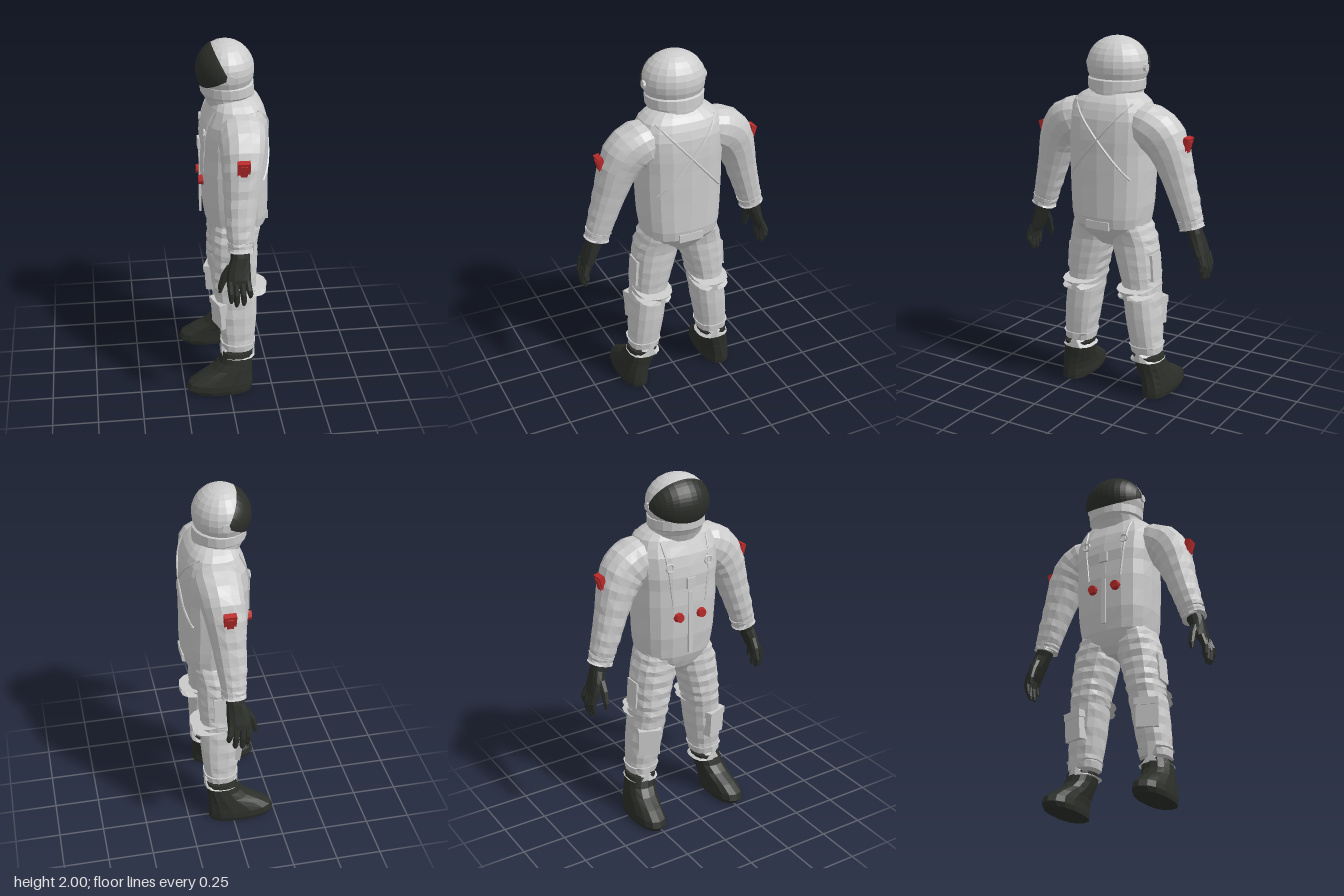
import * as THREE from 'three';

// The figure faces -x; its arms spread along z.
const suit = new THREE.MeshStandardMaterial({ color: 0xcccccc, flatShading: true, side: THREE.DoubleSide });
const dark = new THREE.MeshStandardMaterial({ color: 0x2b2e29, flatShading: true, side: THREE.DoubleSide });
const red = new THREE.MeshStandardMaterial({ color: 0xb82a2a, flatShading: true });

function add(parent, name, geometry, material, pos = [0, 0, 0], rot = [0, 0, 0]) {
  const mesh = new THREE.Mesh(geometry, material);
  mesh.name = name;
  mesh.position.set(...pos);
  mesh.rotation.set(...rot);
  parent.add(mesh);
  return mesh;
}

// Closed skin over rounded cross-sections; row = [x, y, z, halfX, halfAcross].
// fold = depth of the cloth creases, level = keep sections horizontal.
function loft(rows, { sides = 14, steps = rows.length - 1, power = 2.3, fold = 0, level = false } = {}) {
  const path = new THREE.CatmullRomCurve3(rows.map(r => new THREE.Vector3(r[0], r[1], r[2])), false, 'catmullrom', 0.4);
  const size = new THREE.CatmullRomCurve3(rows.map(r => new THREE.Vector3(r[3], r[4], 0)), false, 'catmullrom', 0.4);
  const pos = [], index = [], u = new THREE.Vector3(1, 0, 0);
  const bulge = a => Math.sign(a) * Math.pow(Math.abs(a), 2 / power);
  for (let i = 0; i <= steps; i++) {
    const c = path.getPoint(i / steps), s = size.getPoint(i / steps), t = path.getTangent(i / steps);
    if (level) t.set(0, Math.sign(t.y), 0);
    t.setX(0).normalize();
    const v = u.clone().cross(t);
    for (let j = 0; j < sides; j++) {
      const a = (j / sides) * Math.PI * 2, cs = Math.cos(a), sn = Math.sin(a);
      const crease = (i % 2 ? 1 : -1) * fold * (cs < 0.3 ? 1 : 0.25) * (0.6 + 0.4 * Math.sin(j * 2.1 + i));
      const p = c.clone().addScaledVector(u, bulge(cs) * (s.x + crease)).addScaledVector(v, bulge(sn) * (s.y + crease));
      pos.push(p.x, p.y, p.z);
    }
  }
  const start = pos.length / 3, end = start + 1;
  for (const k of [0, 1]) pos.push(...path.getPoint(k).toArray());
  for (let j = 0; j < sides; j++) {
    const n = (j + 1) % sides;
    for (let i = 0; i < steps; i++) {
      const a = i * sides + j, b = i * sides + n;
      index.push(a, a + sides, b, b, a + sides, b + sides);
    }
    index.push(start, j, n, end, steps * sides + n, steps * sides + j);
  }
  const g = new THREE.BufferGeometry();
  g.setAttribute('position', new THREE.Float32BufferAttribute(pos, 3));
  g.setIndex(index);
  g.computeVertexNormals();
  return g;
}

// Row from extents: height, front x, back x, inner z, outer z.
const span = ([y, f, b, zi, zo]) => [(f + b) / 2, y, (zi + zo) / 2, (b - f) / 2, (zo - zi) / 2];

// Torso: height, front x, back x, half width
const TORSO = [
  [0.87, -0.04, 0.13, 0.07], [0.93, -0.08, 0.18, 0.17], [1.0, -0.105, 0.232, 0.212], [1.1, -0.12, 0.236, 0.225],
  [1.25, -0.13, 0.236, 0.233], [1.4, -0.13, 0.236, 0.235], [1.5, -0.13, 0.236, 0.24], [1.59, -0.11, 0.226, 0.24],
  [1.66, -0.08, 0.2, 0.215], [1.7, -0.06, 0.165, 0.17], [1.73, -0.03, 0.12, 0.1],
];

// Point on the torso surface, front (-1) or back (1).
function onTorso(y, z, side, lift = 0.002) {
  const i = Math.max(1, TORSO.findIndex(r => r[0] >= y));
  const k = (y - TORSO[i - 1][0]) / (TORSO[i][0] - TORSO[i - 1][0]);
  const [f, b, w] = [1, 2, 3].map(n => THREE.MathUtils.lerp(TORSO[i - 1][n], TORSO[i][n], k));
  const x = Math.pow(Math.max(0, 1 - Math.pow(Math.abs(z) / w, 2.6)), 1 / 2.6);
  return new THREE.Vector3((f + b) / 2 + side * (x * (b - f) / 2 + lift), y, z);
}

function strap(parent, name, y0, z0, y1, z1, side) {
  const pts = [];
  for (let i = 0; i <= 8; i++) pts.push(onTorso(y0 + (y1 - y0) * i / 8, z0 + (z1 - z0) * i / 8, side, 0));
  add(parent, name, new THREE.TubeGeometry(new THREE.CatmullRomCurve3(pts), 16, 0.007, 5), suit);
}

function makeArm() {
  const arm = new THREE.Group();
  add(arm, 'sleeve', loft([
    [0.07, 1.57, 0.13, 0.1, 0.09], [0.07, 1.55, 0.22, 0.125, 0.115], [0.065, 1.5, 0.295, 0.118, 0.122],
    [0.055, 1.41, 0.348, 0.105, 0.106], [0.045, 1.28, 0.39, 0.09, 0.086], [0.037, 1.15, 0.43, 0.078, 0.075],
    [0.035, 1.06, 0.457, 0.066, 0.068], [0.035, 1.02, 0.468, 0.062, 0.066],
  ], { steps: 21, fold: 0.003 }), suit);
  add(arm, 'sleeveCuff', loft([[0.035, 1.06, 0.457, 0.069, 0.072], [0.035, 1.01, 0.471, 0.066, 0.07]]), suit);
  add(arm, 'armPatch', new THREE.BoxGeometry(0.065, 0.155, 0.03), red, [0.052, 1.43, 0.43], [0.28, 0, 0]);
  add(arm, 'armPatchRidge', new THREE.BoxGeometry(0.035, 0.12, 0.03), red, [0.052, 1.43, 0.436], [0.28, 0, 0]);

  // Glove
  add(arm, 'palm', loft([
    [0.033, 1.05, 0.458, 0.052, 0.048], [0.03, 0.98, 0.487, 0.05, 0.042], [0.02, 0.92, 0.508, 0.062, 0.034],
    [0.018, 0.87, 0.527, 0.064, 0.028], [0.018, 0.84, 0.537, 0.056, 0.02],
  ], { sides: 10 }), dark);
  [[-0.03, -0.022, 0.745], [0.002, 0.006, 0.722], [0.034, 0.044, 0.728], [0.063, 0.078, 0.772]].forEach(([x0, x1, tip]) => {
    const mid = (tip + 0.87) / 2;
    add(arm, 'finger', loft([
      [x0, 0.87, 0.533, 0.017, 0.02], [(x0 + x1) / 2, mid, 0.553, 0.017, 0.018],
      [x1, tip + 0.02, 0.55, 0.015, 0.015], [x1, tip, 0.545, 0.008, 0.008],
    ], { sides: 7 }), dark);
  });
  add(arm, 'thumb', loft([
    [-0.015, 0.94, 0.495, 0.026, 0.022], [-0.05, 0.885, 0.495, 0.022, 0.02],
    [-0.072, 0.82, 0.497, 0.017, 0.016], [-0.077, 0.785, 0.5, 0.008, 0.008],
  ], { sides: 7 }), dark);
  return arm;
}

function makeLeg() {
  const leg = new THREE.Group();
  add(leg, 'thigh', loft([
    [0.62, -0.08, 0.16, 0.08, 0.27], [0.7, -0.082, 0.165, 0.063, 0.268], [0.8, -0.08, 0.17, 0.035, 0.262],
    [0.9, -0.08, 0.172, 0.008, 0.25], [0.98, -0.075, 0.19, 0.005, 0.222], [1.04, -0.06, 0.19, 0.02, 0.2],
  ].map(span), { steps: 14, fold: 0.005, level: true, power: 2.5 }), suit);
  add(leg, 'shin', loft([
    [0.26, -0.03, 0.14, 0.13, 0.302], [0.34, -0.04, 0.152, 0.122, 0.297], [0.45, -0.055, 0.163, 0.103, 0.29],
    [0.56, -0.068, 0.165, 0.088, 0.28], [0.64, -0.08, 0.162, 0.078, 0.27],
  ].map(span), { steps: 9, fold: 0.003, level: true, power: 2.5 }), suit);
  add(leg, 'kneeBand', loft([
    [0.61, -0.086, 0.17, 0.076, 0.279], [0.65, -0.088, 0.17, 0.07, 0.276],
  ].map(span), { level: true, power: 2.5 }), suit, [0, 0.005, 0], [0, 0, -0.08]);
  add(leg, 'trouserCuff', loft([
    [0.215, -0.042, 0.152, 0.128, 0.312], [0.305, -0.044, 0.155, 0.12, 0.308],
  ].map(span), { level: true, power: 2.5 }), suit);
  // Shin pocket with flap, and thigh pocket
  add(leg, 'shinPocket', new THREE.BoxGeometry(0.07, 0.14, 0.12), suit, [-0.035, 0.475, 0.215], [0, 0.35, 0.06]);
  add(leg, 'shinPocketFlap', new THREE.BoxGeometry(0.08, 0.04, 0.13), suit, [-0.04, 0.545, 0.213], [0, 0.35, 0.06]);
  add(leg, 'thighPocket', new THREE.BoxGeometry(0.1, 0.15, 0.02), suit, [0.05, 0.76, 0.26], [-0.07, 0, 0]);
  // Boot
  add(leg, 'boot', loft([
    [0.0, -0.225, 0.132, 0.185, 0.34], [0.025, -0.245, 0.136, 0.18, 0.346], [0.06, -0.232, 0.136, 0.181, 0.343],
    [0.1, -0.17, 0.135, 0.177, 0.334], [0.14, -0.095, 0.134, 0.166, 0.325], [0.18, -0.055, 0.138, 0.155, 0.315],
    [0.24, -0.035, 0.142, 0.142, 0.302],
  ].map(span), { level: true, power: 2.4 }), dark);
  return leg;
}

export function createModel() {
  const model = new THREE.Group();
  model.name = 'spaceSuit';

  add(model, 'torso', loft(TORSO.map(([y, f, b, w]) => span([y, f, b, -w, w])), { sides: 18, steps: 16, level: true, power: 2.6, fold: 0.002 }), suit);

  // Collar and helmet
  add(model, 'collar', loft([
    [0.04, 1.64, 0, 0.12, 0.15], [0.03, 1.69, 0, 0.132, 0.153], [0.022, 1.715, 0, 0.14, 0.15],
    [0.018, 1.725, 0, 0.143, 0.16], [0.016, 1.775, 0, 0.143, 0.162], [0.015, 1.785, 0, 0.125, 0.145],
  ], { sides: 20, level: true, power: 2 }), suit);
  const helmet = add(model, 'helmet', new THREE.SphereGeometry(0.153, 20, 14), suit, [0.008, 1.845, 0]);
  helmet.scale.z = 1.13;
  const rad = THREE.MathUtils.degToRad;
  const visorShape = new THREE.SphereGeometry(0.158, 12, 16, rad(-62), rad(92)).rotateX(Math.PI / 2);
  add(model, 'visor', visorShape, dark, [0.008, 1.842, 0]).scale.z = 1.13;

  // Back harness and pouch
  for (const s of [1, -1]) {
    strap(model, 'backStrap', 1.67, 0.17 * s, 1.27, -0.18 * s, 1);
    strap(model, 'chestStrap', 1.66, 0.14 * s, 1.3, 0.1 * s, -1);
  }
  add(model, 'backPouch', new THREE.BoxGeometry(0.025, 0.045, 0.14), suit, [0.225, 1.005, 0]);

  // Chest fittings
  add(model, 'chestUnit', new THREE.BoxGeometry(0.03, 0.06, 0.05), suit, [-0.128, 1.43, 0]);
  add(model, 'frontZip', new THREE.BoxGeometry(0.012, 0.36, 0.025), suit, [-0.13, 1.2, 0]);

  // Paired parts
  for (const s of [1, -1]) {
    const half = new THREE.Group();
    half.name = s > 0 ? 'rightSide' : 'leftSide';
    half.name = s > 0 ? 'positiveSide' : 'negativeSide';
    half.scale.z = s;
    const arm = makeArm(), leg = makeLeg();
    arm.name = 'arm';
    leg.name = 'leg';
    half.add(arm, leg);
    add(half, 'chestValve', new THREE.CylinderGeometry(0.024, 0.032, 0.035, 8), red, [-0.128, 1.24, 0.07], [0, 0, Math.PI / 2]);
    add(half, 'chestBuckle', new THREE.TorusGeometry(0.022, 0.006, 5, 8), suit, onTorso(1.53, 0.12, -1, 0.006).toArray(), [0, Math.PI / 2, 0]);
    add(half, 'helmetPivot', new THREE.CylinderGeometry(0.022, 0.022, 0.014, 8), suit, [0.015, 1.842, 0.174], [Math.PI / 2, 0, 0]);
    model.add(half);
  }
  return model;
}
